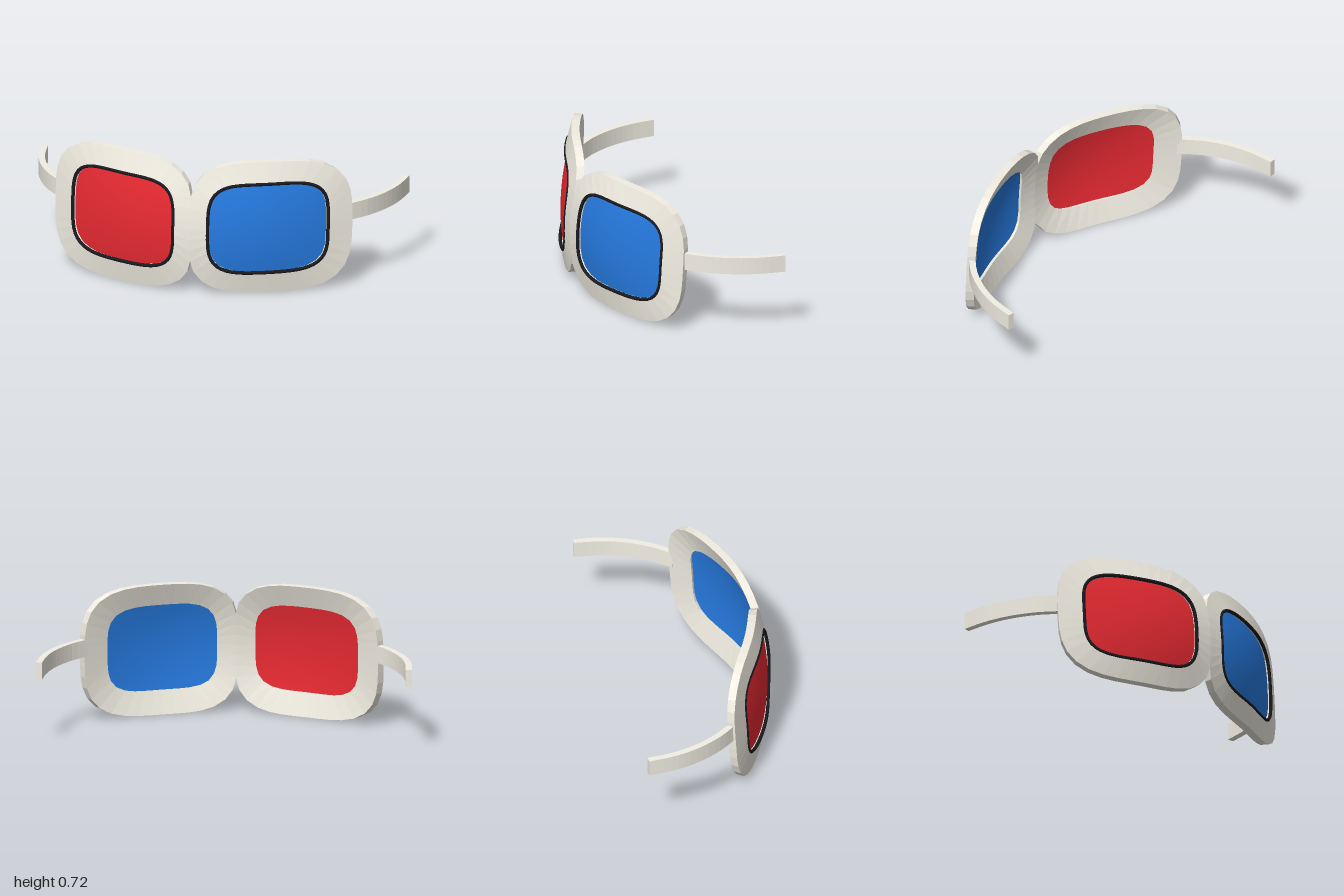
import * as THREE from 'three';

const SEG = 40;
const CX = 0.395;

// Wrapped front surface: bends back towards the temples, bulges and leans slightly in height.
function surfaceZ(x, y) {
  const v = y - 0.36;
  const bulge = 0.45 * (1 - Math.min(1, (x / 0.85) ** 4));
  return 0.42 - 0.51 * x * x - bulge * v * v - 0.06 * v;
}

// Rounded-rectangle loop laid on the surface, sunk by depth along its normal.
function loop(halfW, halfH, depth, cy, n) {
  const points = [];
  for (let j = 0; j < SEG; j++) {
    const t = (j / SEG) * Math.PI * 2;
    const c = Math.cos(t), s = Math.sin(t);
    const r = (Math.abs(c) ** n + Math.abs(s) ** n) ** (-1 / n);
    const x = Math.max(0, CX + halfW * r * c), y = cy + halfH * r * s;
    const slope = 1.02 * x, len = Math.hypot(slope, 1);
    points.push(new THREE.Vector3(
      Math.max(0, x - (depth * slope) / len), y, surfaceZ(x, y) - depth / len));
  }
  return points;
}

// Skin a list of equal loops.
function loft(rings) {
  const pos = [], idx = [];
  rings.forEach(ring => ring.forEach(p => pos.push(p.x, p.y, p.z)));
  for (let i = 0; i < rings.length - 1; i++) {
    for (let j = 0; j < SEG; j++) {
      const k = (j + 1) % SEG;
      const a = i * SEG + j, b = a + SEG, c = (i + 1) * SEG + k, d = i * SEG + k;
      idx.push(a, b, c, a, c, d);
    }
  }
  const g = new THREE.BufferGeometry();
  g.setAttribute('position', new THREE.Float32BufferAttribute(pos, 3));
  g.setIndex(idx);
  g.computeVertexNormals();
  return g;
}

// Copy mirrored in x, with the winding turned back outwards.
function mirrored(geometry) {
  const g = geometry.index ? geometry.toNonIndexed() : geometry.clone();
  for (const name of ['position', 'normal']) {
    const a = g.attributes[name];
    const p = new THREE.Vector3(), q = new THREE.Vector3();
    for (let i = 0; i < a.count; i += 3) {
      for (let k = 0; k < 3; k++) a.setX(i + k, -a.getX(i + k));
      p.fromBufferAttribute(a, i + 1);
      q.fromBufferAttribute(a, i + 2);
      a.setXYZ(i + 1, q.x, q.y, q.z);
      a.setXYZ(i + 2, p.x, p.y, p.z);
    }
  }
  return g;
}

function frameGeometry() {
  const frontInner = loop(0.3, 0.243, 0, 0.363, 4);
  return loft([
    frontInner,
    loop(0.412, 0.36, 0, 0.36, 3.4),
    loop(0.412, 0.36, 0.044, 0.36, 3.4),
    loop(0.29, 0.236, 0.034, 0.363, 4),
    frontInner,
  ]);
}

function lensGeometry() {
  const rings = [];
  for (let i = 0; i <= 8; i++) {
    const f = Math.max(i / 8, 0.001);
    rings.push(loop(0.296 * f, 0.24 * f, 0.017, 0.363, 4));
  }
  return loft(rings);
}

// Thin trim, half sunk into the frame around the opening.
function rimGeometry() {
  const path = new THREE.CatmullRomCurve3(loop(0.301, 0.244, 0.004, 0.363, 4), true);
  return new THREE.TubeGeometry(path, 72, 0.0095, 8, true);
}

// Curved flat bar, drawn in plan and extruded upwards, tapering slightly to the tip.
function templeGeometry() {
  const outer = new THREE.SplineCurve([
    [0.785, -0.09], [0.862, 0], [0.922, 0.1], [0.963, 0.2], [0.987, 0.3], [1, 0.42],
  ].map(p => new THREE.Vector2(...p)));
  const front = [], back = [];
  for (let i = 0; i <= 14; i++) {
    const p = outer.getPoint(i / 14), t = outer.getTangent(i / 14);
    front.push(p);
    back.unshift(new THREE.Vector2(p.x - 0.034 * t.y, p.y + 0.034 * t.x));
  }
  const g = new THREE.ExtrudeGeometry(new THREE.Shape([...front, ...back]),
    { depth: 0.093, bevelEnabled: false });
  g.rotateX(-Math.PI / 2);
  g.translate(0, 0.361, 0);
  const a = g.attributes.position;
  for (let i = 0; i < a.count; i++) a.setY(i, a.getY(i) + 0.012 * (a.getZ(i) - 0.09));
  g.computeVertexNormals();
  return g;
}

export function createModel() {
  const group = new THREE.Group();
  const shell = new THREE.MeshStandardMaterial({ color: 0xf2eee3, flatShading: true });
  const black = new THREE.MeshStandardMaterial({ color: 0x1a1a1f });
  const lens = color => new THREE.MeshStandardMaterial({ color, side: THREE.DoubleSide });

  const parts = [
    ['Frame', frameGeometry(), shell, shell],
    ['Lens', lensGeometry(), lens(0x267ae0), lens(0xe82a32)],
    ['LensRim', rimGeometry(), black, black],
    ['Temple', templeGeometry(), shell, shell],
  ];
  for (const [name, geometry, leftMaterial, rightMaterial] of parts) {
    const left = new THREE.Mesh(geometry, leftMaterial);
    left.name = 'left' + name;
    const right = new THREE.Mesh(mirrored(geometry), rightMaterial);
    right.name = 'right' + name;
    group.add(left, right);
  }
  return group;
}
